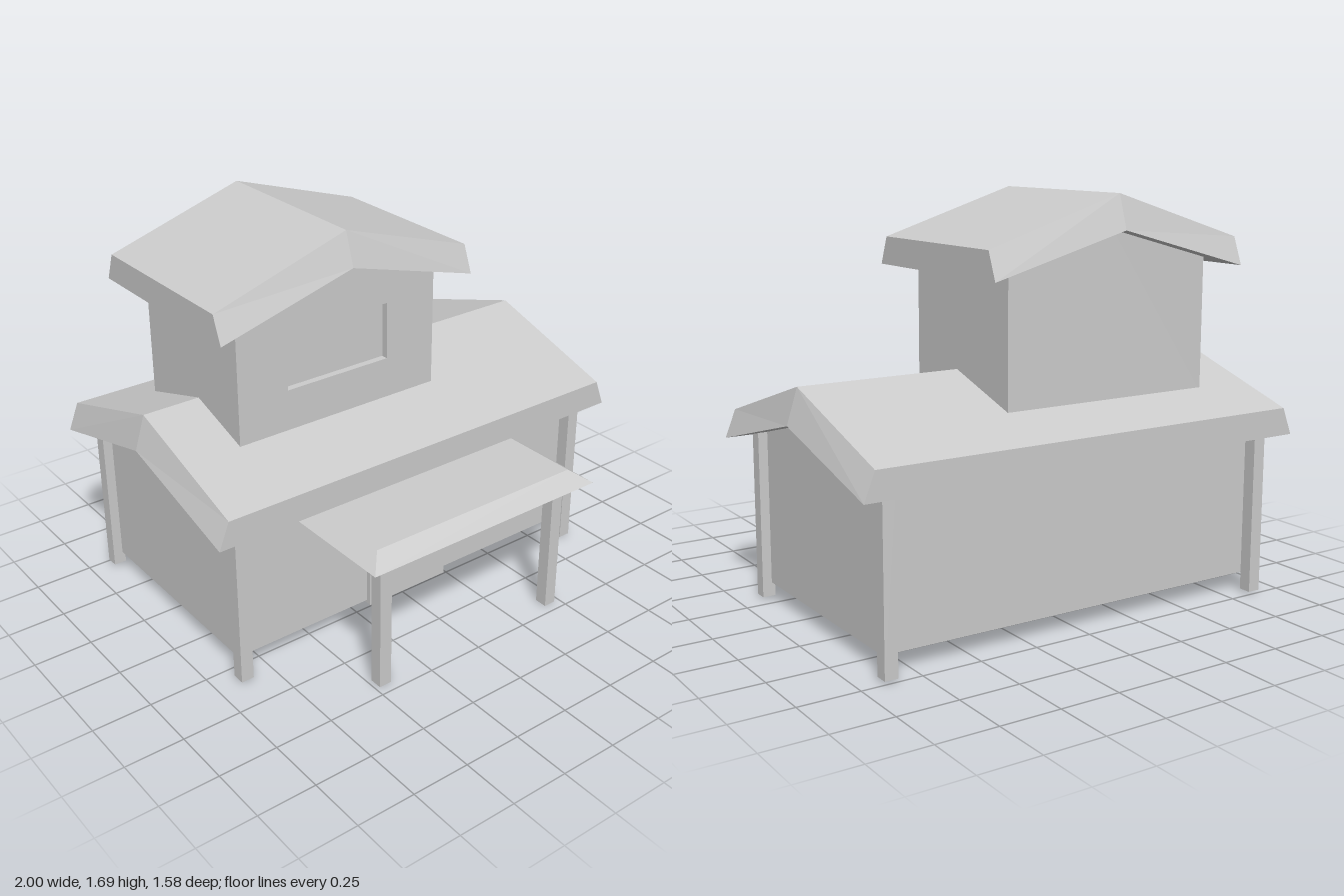
import * as THREE from 'three';

const material = new THREE.MeshStandardMaterial({ color: 0xcccccc, flatShading: true });

function add(parent, name, geometry, x = 0, y = 0, z = 0) {
  const mesh = new THREE.Mesh(geometry, material);
  mesh.name = name;
  mesh.position.set(x, y, z);
  parent.add(mesh);
  return mesh;
}

// Box given by its minimum and maximum corners
function box(parent, name, [x0, y0, z0], [x1, y1, z1]) {
  return add(parent, name, new THREE.BoxGeometry(x1 - x0, y1 - y0, z1 - z0),
    (x0 + x1) / 2, (y0 + y1) / 2, (z0 + z1) / 2);
}

// Folded roof slab with its ridge along z; the underside is longer than the top
function roofGeometry(half, ridge, eave, underRidge, underEave, topLength, underLength) {
  const t = topLength / 2, b = underLength / 2;
  const section = [
    [-half, eave, t], [0, ridge, t], [half, eave, t],
    [half, underEave, b], [0, underRidge, b], [-half, underEave, b],
  ];
  const front = section;
  const back = section.map(([x, y, z]) => [x, y, -z]);
  const positions = [];
  const quad = (p, q, r, s) => positions.push(...p, ...q, ...r, ...p, ...r, ...s);
  for (let i = 0; i < 6; i++) {
    const j = (i + 1) % 6;
    quad(front[i], front[j], back[j], back[i]);
  }
  for (const [i, j, k, l] of [[0, 1, 4, 5], [1, 2, 3, 4]]) {
    quad(front[i], front[l], front[k], front[j]);
    quad(back[i], back[j], back[k], back[l]);
  }
  const geometry = new THREE.BufferGeometry();
  geometry.setAttribute('position', new THREE.Float32BufferAttribute(positions, 3));
  geometry.computeVertexNormals();
  return geometry;
}

// Five-sided gable outline
function gableShape(half, bottom, eave, ridge) {
  return new THREE.Shape([[-half, bottom], [half, bottom], [half, eave], [0, ridge], [-half, eave]]
    .map(([x, y]) => new THREE.Vector2(x, y)));
}

const extrude = (shape, depth, curveSegments = 8) =>
  new THREE.ExtrudeGeometry(shape, { depth, bevelEnabled: false, curveSegments });

export function createModel() {
  const house = new THREE.Group();
  house.name = 'house';

  // Ground floor, with its ridge along x
  const lower = new THREE.Group();
  lower.name = 'groundFloor';
  lower.position.z = -0.19;
  lower.rotation.y = Math.PI / 2;
  house.add(lower);
  add(lower, 'lowerWalls', extrude(gableShape(0.48, 0.075, 0.73, 0.86), 1.74), 0, 0, -0.87);
  add(lower, 'lowerRoof', roofGeometry(0.604, 0.99, 0.8, 0.845, 0.685, 1.91, 2));

  // Corner posts under the lower roof
  for (const side of [-1, 1]) {
    for (const z of [0.335, -0.717]) {
      box(house, 'cornerPost', [side * 0.875 - 0.0275, 0.01, z - 0.0275],
        [side * 0.875 + 0.0275, 0.74, z + 0.0275]);
    }
  }

  // Upper floor, with its ridge along z and a recessed window in front
  const upper = new THREE.Group();
  upper.name = 'upperFloor';
  upper.position.x = -0.225;
  house.add(upper);
  const recess = 0.03;
  add(upper, 'upperWalls', extrude(gableShape(0.48, 0.86, 1.43, 1.56), 0.665 - recess), 0, 0, -0.555);
  const frontWall = gableShape(0.48, 0.86, 1.43, 1.56);
  frontWall.holes.push(new THREE.Path([[-0.25, 1.07], [-0.25, 1.315], [0.24, 1.315], [0.24, 1.07]]
    .map(([x, y]) => new THREE.Vector2(x, y))));
  add(upper, 'windowWall', extrude(frontWall, recess), 0, 0, 0.11 - recess);
  add(upper, 'upperRoof', roofGeometry(0.6, 1.69, 1.5, 1.55, 1.385, 0.765, 0.855), 0, 0, -0.2225);

  // Door with a shallow arched top
  const halfDoor = 0.2025, rise = 0.075;
  const radius = (halfDoor ** 2 + rise ** 2) / (2 * rise);
  const angle = Math.asin(halfDoor / radius);
  const door = new THREE.Shape();
  door.moveTo(-halfDoor, 0.06);
  door.lineTo(halfDoor, 0.06);
  door.absarc(0, 0.545 - radius, radius, Math.PI / 2 - angle, Math.PI / 2 + angle, false);
  door.closePath();
  add(house, 'door', extrude(door, 0.045), -0.0225, 0, 0.267);

  // Porch canopy: a slab whose top is drawn in at the front and sides
  const canopy = new THREE.BoxGeometry(1.135, 0.05, 0.5);
  const p = canopy.attributes.position;
  for (let i = 0; i < p.count; i++) {
    if (p.getY(i) < 0) continue;
    p.setX(i, Math.sign(p.getX(i)) * 0.4975);
    if (p.getZ(i) > 0) p.setZ(i, 0.17);
  }
  canopy.computeVertexNormals();
  add(house, 'porchCanopy', canopy, -0.0025, 0.625, 0.54);
  for (const side of [-1, 1]) {
    const x = side * 0.45 - 0.0025;
    box(house, 'porchPost', [x - 0.0275, 0, 0.652], [x + 0.0275, 0.61, 0.707]);
  }

  return house;
}
